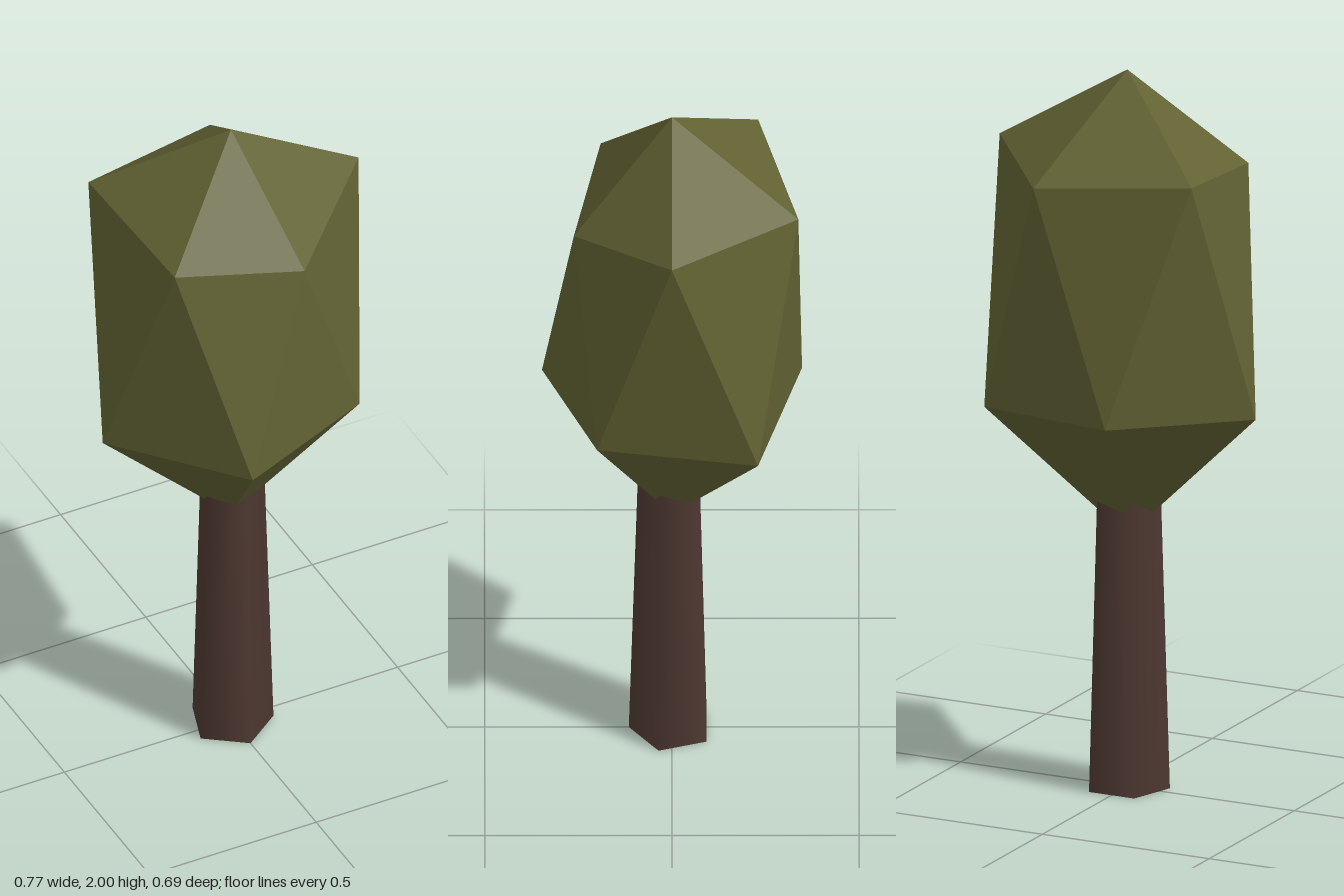
import * as THREE from 'three';

// Irregular twenty-sided crown: two staggered rings of five between two tips
function crownGeometry() {
  const tip = [0, 2, 0];
  const base = [0, 0.7, 0];
  const upper = [
    [0.383, 1.77, 0], [0.11, 1.743, -0.338], [-0.31, 1.772, -0.231],
    [-0.266, 1.725, 0.19], [0.087, 1.672, 0.262],
  ];
  const lower = [
    [0.312, 1.078, -0.23], [-0.11, 1.1, -0.348], [-0.385, 1.075, 0],
    [-0.112, 1.092, 0.347], [0.284, 1.11, 0.2],
  ];
  const corners = [];
  for (let i = 0; i < 5; i++) {
    const j = (i + 1) % 5;
    corners.push(tip, upper[i], upper[j]);
    corners.push(upper[i], lower[i], upper[j]);
    corners.push(upper[j], lower[i], lower[j]);
    corners.push(base, lower[j], lower[i]);
  }
  const geometry = new THREE.BufferGeometry();
  geometry.setAttribute('position', new THREE.Float32BufferAttribute(corners.flat(), 3));
  geometry.computeVertexNormals(); // unshared corners give flat facets
  return geometry;
}

export function createModel() {
  const bark = new THREE.MeshStandardMaterial({ color: 0x4e3831 });
  bark.name = 'bark brown';
  const leaf = new THREE.MeshStandardMaterial({ color: 0x626234 });
  leaf.name = 'leaf olive';

  const tree = new THREE.Group();
  tree.name = 'tree';

  // Tapered five-sided trunk, its top hidden inside the crown
  const height = 0.95;
  const trunk = new THREE.Mesh(new THREE.CylinderGeometry(0.087, 0.115, height, 5), bark);
  trunk.name = 'trunk';
  trunk.position.y = height / 2;

  const crown = new THREE.Mesh(crownGeometry(), leaf);
  crown.name = 'crown';

  tree.add(trunk, crown);
  return tree;
}
